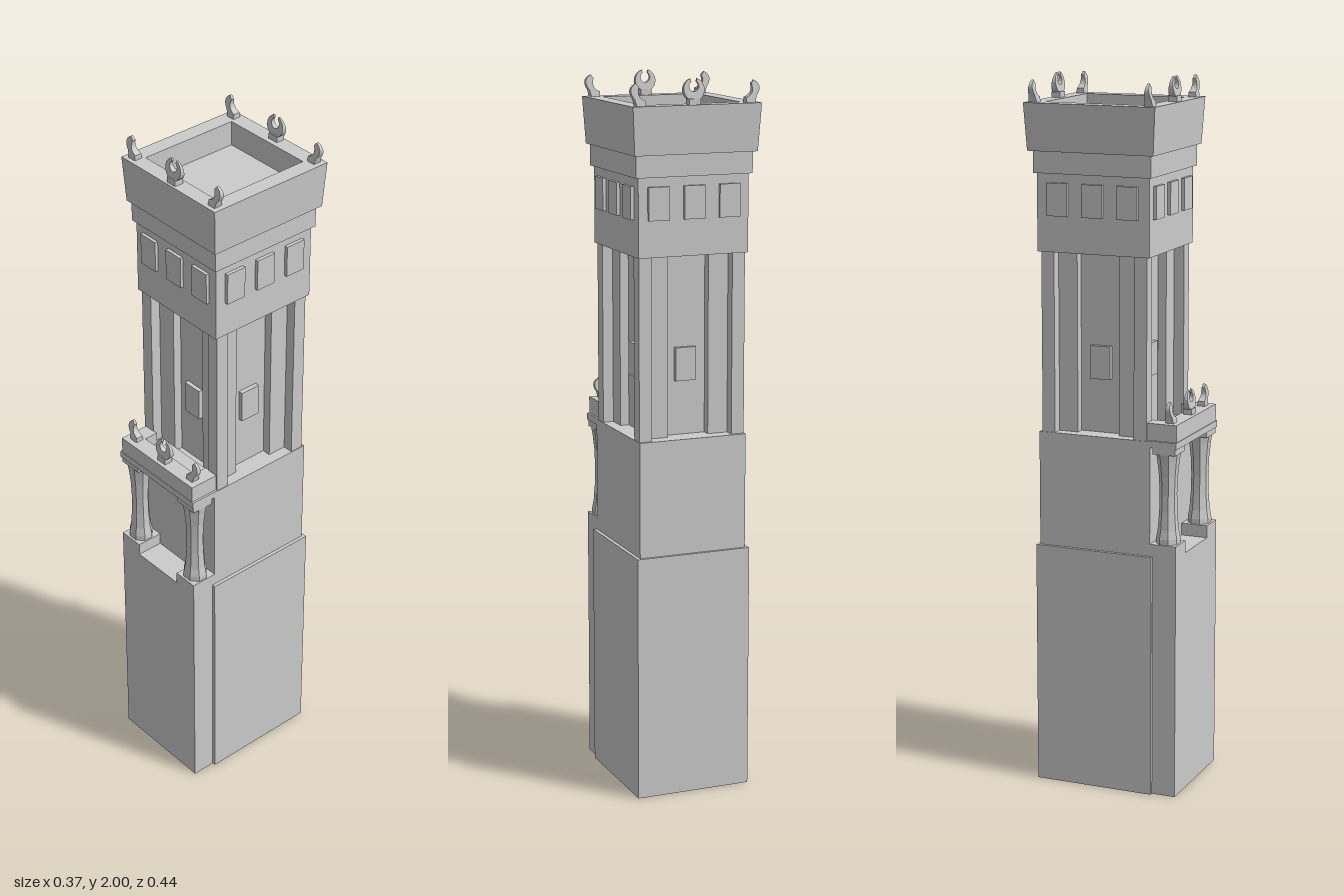
import * as THREE from 'three';

const material = new THREE.MeshStandardMaterial({ color: 0xcccccc, flatShading: true });
const CZ = -0.027; // centre of the tower shaft in z

export function createModel() {
  const tower = new THREE.Group();
  tower.name = 'tower';

  function add(name, geometry, parent = tower) {
    const mesh = new THREE.Mesh(geometry, material);
    mesh.name = name;
    parent.add(mesh);
    return mesh;
  }

  // Box given by its limits on each axis
  function block(name, x0, x1, y0, y1, z0, z1, parent) {
    const g = new THREE.BoxGeometry(x1 - x0, y1 - y0, z1 - z0);
    g.translate((x0 + x1) / 2, (y0 + y1) / 2, (z0 + z1) / 2);
    return add(name, g, parent);
  }

  // Lower storeys
  block('base', -0.167, 0.167, 0, 0.695, -0.2, 0.148);
  block('frontPier', -0.157, 0.157, 0, 0.695, 0.14, 0.217);
  block('middleStorey', -0.157, 0.157, 0.695, 1.02, -0.192, 0.14);

  // Porch columns with waisted shafts on plinths
  const columnProfile = [[0, 0.73], [0.036, 0.73], [0.036, 0.745], [0.031, 0.77], [0.027, 0.82],
    [0.026, 0.87], [0.028, 0.92], [0.033, 0.965], [0.037, 0.985], [0.037, 1.01], [0, 1.01]]
    .map(([r, y]) => new THREE.Vector2(r, y));
  for (const s of [-1, 1]) {
    block('columnPlinth', s * 0.12 - 0.037, s * 0.12 + 0.037, 0.695, 0.73, 0.14, 0.217);
    const column = add('porchColumn', new THREE.LatheGeometry(columnProfile, 8, Math.PI / 8));
    column.position.set(s * 0.12, 0, 0.18);
    column.scale.z = 0.92;
    block('columnCapital', s * 0.12 - 0.035, s * 0.12 + 0.035, 0.985, 1.005, 0.147, 0.213);
  }

  // Porch roof with a low parapet
  block('porchSlab', -0.157, 0.157, 1.003, 1.022, 0.13, 0.217);
  block('porchRoof', -0.15, 0.15, 1.02, 1.035, 0.1, 0.21);
  block('porchFrontParapet', -0.151, 0.151, 1.02, 1.07, 0.168, 0.215);
  for (const s of [-1, 1]) {
    block('porchSideParapet', s * 0.128 - 0.023, s * 0.128 + 0.023, 1.02, 1.07, 0.127, 0.215);
  }

  // Upper shaft: crossed boxes step in from corner posts to a deep centre bay
  const y0 = 1.02, y1 = 1.53, W = 0.155, D = 0.156;
  block('shaftCore', -W + 0.055, W - 0.055, y0, y1, CZ - D + 0.055, CZ + D - 0.055);
  for (const sx of [-1, 1]) for (const sz of [-1, 1]) {
    const post = (name, inX, inZ, endX, endZ) => block(name,
      Math.min(sx * inX, sx * endX), Math.max(sx * inX, sx * endX), y0, y1,
      CZ + Math.min(sz * inZ, sz * endZ), CZ + Math.max(sz * inZ, sz * endZ));
    post('cornerPost', 0.118, 0.118, W, D);
    post('steppedPilaster', 0.06, 0.062, W - 0.03, D - 0.03);
  }

  // The four sides carry a shaft window and three gallery panels each
  for (let i = 0; i < 4; i++) {
    const side = new THREE.Group();
    side.name = 'sideDetails';
    side.position.z = CZ;
    side.rotation.y = i * Math.PI / 2;
    tower.add(side);
    block('shaftWindow', -0.03, 0.03, 1.172, 1.265, 0.09, 0.113, side);
    for (const x of [-0.103, 0, 0.103]) {
      block('galleryPanel', x - 0.03, x + 0.03, 1.625, 1.715, 0.15, i % 2 ? 0.17 : 0.174, side);
    }
  }

  // Gallery and cornice
  block('gallery', -0.16, 0.16, 1.525, 1.74, -0.192, 0.138);
  block('cornice', -0.169, 0.169, 1.74, 1.8, -0.199, 0.146);
  block('roofFloor', -0.15, 0.15, 1.8, 1.86, -0.187, 0.127);

  // Flared parapet: a hollow frame whose outer lower edge is drawn in
  const rect = (Kind, w, d) => new Kind([[-w, -d], [w, -d], [w, d], [-w, d]]
    .map(([x, y]) => new THREE.Vector2(x, y)));
  const frame = rect(THREE.Shape, 0.185, 0.1915);
  frame.holes.push(rect(THREE.Path, 0.14, 0.147));
  const parapet = new THREE.ExtrudeGeometry(frame, { depth: 0.13, bevelEnabled: false });
  parapet.rotateX(-Math.PI / 2);
  const p = parapet.attributes.position;
  for (let i = 0; i < p.count; i++) {
    if (p.getY(i) < 0.01 && Math.abs(p.getX(i)) > 0.16) {
      p.setX(i, p.getX(i) * 0.96);
      p.setZ(i, p.getZ(i) * 0.96);
    }
  }
  parapet.computeVertexNormals();
  add('parapet', parapet).position.set(0, 1.8, -0.0285);

  // Horn ornaments, thinning towards the tips
  function ornament(shape) {
    const g = new THREE.ExtrudeGeometry(shape, { depth: 2, bevelEnabled: false, curveSegments: 10 });
    g.translate(0, 0, -1);
    const q = g.attributes.position;
    for (let i = 0; i < q.count; i++) {
      q.setZ(i, q.getZ(i) * (0.012 - 0.0095 * Math.min(1, q.getY(i) / 0.065)));
    }
    g.computeVertexNormals();
    return g;
  }
  const crescentShape = new THREE.Shape();
  crescentShape.absarc(0, 0.04, 0.03, 1.25, 1.89, true);
  crescentShape.absarc(0, 0.048, 0.014, 2.1, 1.04 + Math.PI * 2, false);
  const crescent = ornament(crescentShape);

  const hornShape = new THREE.Shape();
  hornShape.moveTo(0, 0);
  hornShape.lineTo(0, 0.014);
  hornShape.quadraticCurveTo(-0.027, 0.024, -0.016, 0.05);
  hornShape.lineTo(-0.024, 0.06);
  hornShape.quadraticCurveTo(-0.052, 0.045, -0.03, 0.018);
  hornShape.lineTo(-0.025, 0);
  const horn = ornament(hornShape);

  function ornamentRow(y, z, innerX, lean) {
    add('crescent', crescent).position.set(0.007, y, z + lean);
    block('crescentFoot', -0.009, 0.023, y - 0.002, y + 0.016, z + lean - 0.013, z + lean + 0.013);
    for (const s of [-1, 1]) {
      const mesh = add('cornerHorn', horn);
      mesh.position.set(s * innerX, y, z);
      mesh.rotation.y = s > 0 ? Math.PI : 0;
    }
  }
  ornamentRow(1.93, -0.198, 0.145, -0.005);
  ornamentRow(1.93, 0.139, 0.145, 0.004);
  ornamentRow(1.07, 0.187, 0.107, 0.004);

  return tower;
}
